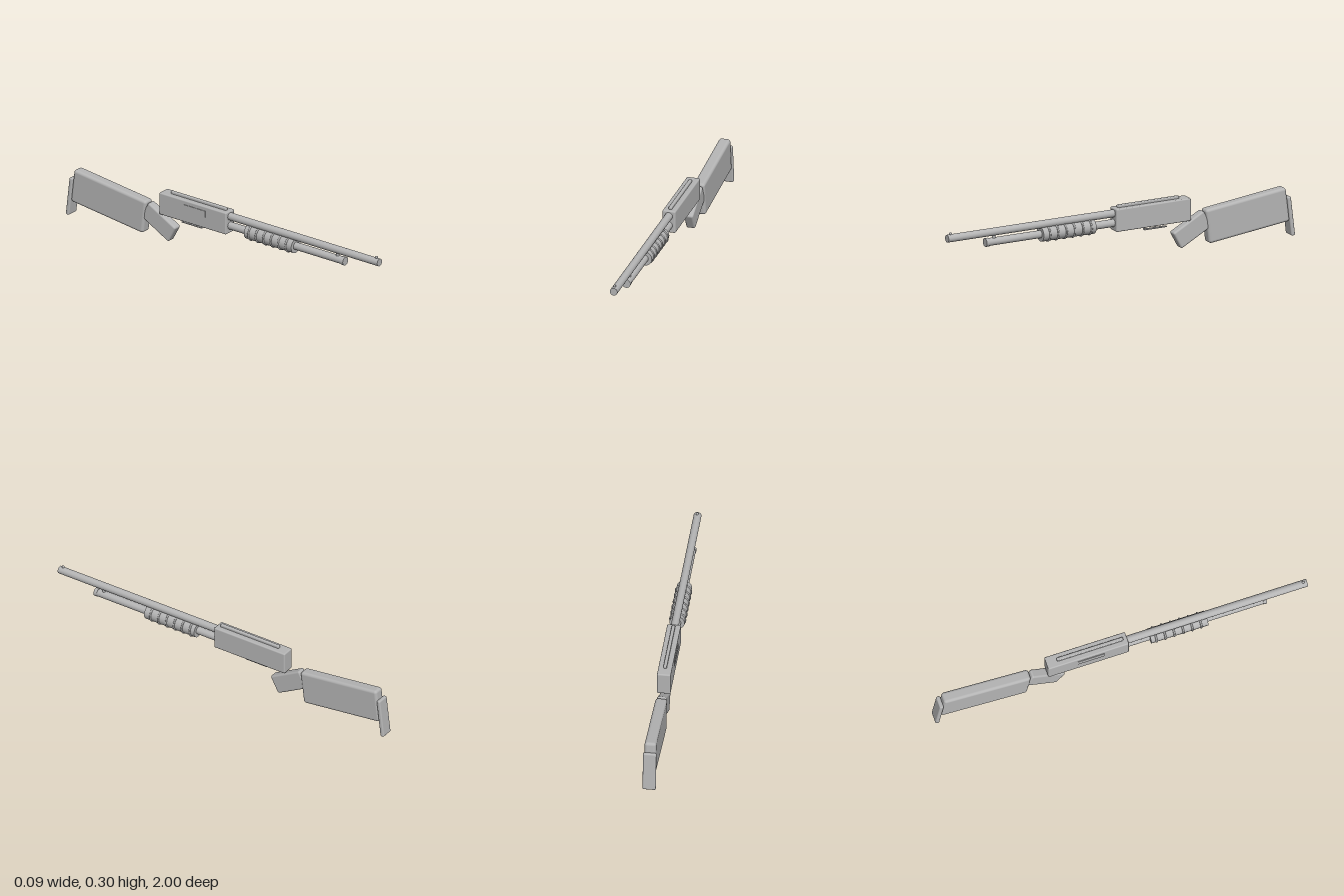
import * as THREE from 'three';
import { RoundedBoxGeometry } from 'three/addons/geometries/RoundedBoxGeometry.js';

export function createModel() {
  const model = new THREE.Group();
  const grey = new THREE.MeshStandardMaterial({ color: 0xb4b4b4 });
  grey.name = 'plain grey';

  const add = (name, geometry, x, y, z, tilt = 0) => {
    const mesh = new THREE.Mesh(geometry, grey);
    mesh.name = name;
    mesh.position.set(x, y, z);
    mesh.rotation.x = THREE.MathUtils.degToRad(tilt);
    model.add(mesh);
    return mesh;
  };
  // Box with softened edges
  const block = (w, h, d, r) => new RoundedBoxGeometry(w, h, d, 3, r);
  // Cylinder lying along z between two stations
  const rod = (name, r, y, z0, z1, sides = 32) =>
    add(name, new THREE.CylinderGeometry(r, r, z1 - z0, sides).rotateX(Math.PI / 2), 0, y, (z0 + z1) / 2);

  const barrelY = 0.255, tubeY = 0.204;

  // Barrel with front bead
  rod('barrel', 0.02, barrelY, 0, 1);
  add('frontBead', new THREE.SphereGeometry(0.007, 16, 12), 0, 0.279, 0.98);

  // Lower tube, end cap and the clamp joining it to the barrel
  rod('lowerTube', 0.02, tubeY, 0.03, 0.775);
  rod('tubeCap', 0.0225, tubeY, 0.762, 0.78);
  add('barrelClamp', new THREE.CylinderGeometry(0.009, 0.009, 0.035, 16), 0, 0.228, 0.73);

  // Ribbed sliding fore-end
  rod('foreEnd', 0.039, tubeY, 0.155, 0.46, 16);
  for (let i = 0; i < 6; i++) {
    add('foreEndRib', new THREE.TorusGeometry(0.039, 0.005, 8, 24), 0, tubeY, 0.183 + i * 0.048);
  }

  // Receiver, top rail and side port plate
  add('receiver', block(0.07, 0.12, 0.432, 0.007), 0, 0.223, -0.179);
  add('topRail', block(0.018, 0.018, 0.356, 0.006), 0, 0.288, -0.162);
  add('sidePort', new THREE.BoxGeometry(0.008, 0.034, 0.142), -0.034, 0.243, -0.166);

  // Trigger and its thin guard
  add('guardStrip', new THREE.BoxGeometry(0.016, 0.005, 0.13), 0, 0.1445, -0.205);
  add('guardPost', new THREE.BoxGeometry(0.016, 0.025, 0.005), 0, 0.1545, -0.1425);
  add('trigger', new THREE.BoxGeometry(0.008, 0.014, 0.008), 0, 0.158, -0.205);

  // Angled grip, shoulder stock and butt pad
  add('grip', block(0.048, 0.1, 0.2, 0.01), 0, 0.11, -0.41, 28.6);
  add('stock', block(0.06, 0.182, 0.468, 0.015), 0, 0.142, -0.727, 6.8);
  add('buttPad', block(0.068, 0.21, 0.022, 0.008), 0, 0.106, -0.976, 6.8);

  return model;
}
